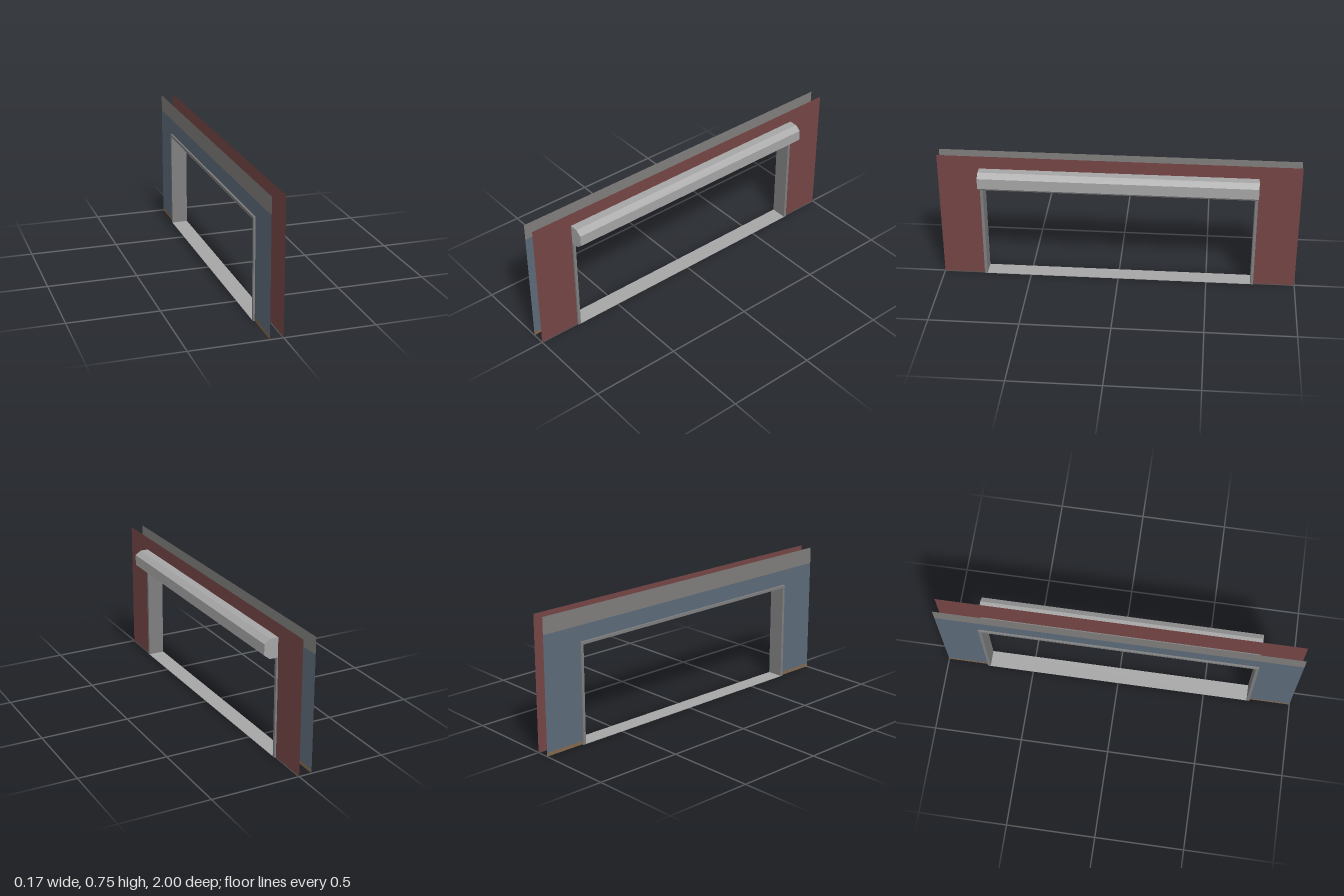
import * as THREE from 'three';

const material = (name, color, side = THREE.FrontSide) => {
  const m = new THREE.MeshStandardMaterial({ color, side });
  m.name = name;
  return m;
};

export function createModel() {
  const group = new THREE.Group();
  group.name = 'rollerDoorway';

  const lightGrey = material('lightGrey', 0xa6a6a6);
  const midGrey = material('midGrey', 0x7f7f7f);
  const red = material('brickRed', 0x764545, THREE.DoubleSide);
  const bandGrey = material('bandGrey', 0x7f7e7c, THREE.DoubleSide);
  const blue = material('slateBlue', 0x5c6b78, THREE.DoubleSide);
  const brown = material('brown', 0x84694e, THREE.DoubleSide);

  const add = (name, geometry, mat, x = 0, y = 0, z = 0) => {
    const mesh = new THREE.Mesh(geometry, mat);
    mesh.name = name;
    mesh.position.set(x, y, z);
    group.add(mesh);
  };

  // Main sizes: frame depth runs along x, opening width along z
  const back = -0.083, front = 0.01;
  const depth = front - back, midX = (front + back) / 2;
  const outerZ = 0.768, outerY = 0.567, thick = 0.016;
  const wallFront = 0, wallBack = -0.073;
  const holeZ = 0.762, holeY = 0.561;

  // Flat wall sheet between two heights, notched for the opening
  const wall = (name, y0, y1, mat, x, turn) => {
    const outline = y0 < holeY && y1 > holeY
      ? [[-1, y0], [-holeZ, y0], [-holeZ, holeY], [holeZ, holeY], [holeZ, y0], [1, y0], [1, y1], [-1, y1]]
      : [[-1, y0], [1, y0], [1, y1], [-1, y1]];
    const shape = new THREE.Shape(outline.map(([a, b]) => new THREE.Vector2(a, b)));
    add(name, new THREE.ShapeGeometry(shape).rotateY(turn * Math.PI / 2), mat, x);
  };
  wall('outerWall', 0, 0.75, red, wallFront, 1);
  wall('innerWallTopBand', 0.655, 0.75, bandGrey, wallBack, -1);
  wall('innerWall', 0.02, 0.655, blue, wallBack, -1);

  // Skirting strips either side of the opening
  for (const s of [-1, 1]) {
    const strip = new THREE.PlaneGeometry(1 - holeZ, 0.02).rotateY(-Math.PI / 2);
    add('innerWallSkirting', strip, brown, wallBack, 0.01, s * (1 + holeZ) / 2);
  }

  // Door frame: two jambs, a lintel and a thin threshold
  for (const s of [-1, 1]) {
    add('jamb', new THREE.BoxGeometry(depth, outerY, thick), midGrey,
      midX, outerY / 2, s * (outerZ - thick / 2));
  }
  add('lintel', new THREE.BoxGeometry(depth, thick, 2 * (outerZ - thick)), midGrey,
    midX, outerY - thick / 2);
  add('threshold', new THREE.BoxGeometry(depth, 0.003, 2 * (outerZ - thick)), lightGrey,
    midX, 0.0015);

  // Roller housing with bevelled outer edges
  const profile = [[0.002, 0.567], [0.049, 0.567], [0.082, 0.593],
    [0.082, 0.654], [0.049, 0.677], [0.002, 0.677]];
  const housing = new THREE.ExtrudeGeometry(
    new THREE.Shape(profile.map(([a, b]) => new THREE.Vector2(a, b))),
    { depth: 2 * outerZ, bevelEnabled: false });
  add('rollerHousing', housing, lightGrey, 0, 0, -outerZ);

  return group;
}
